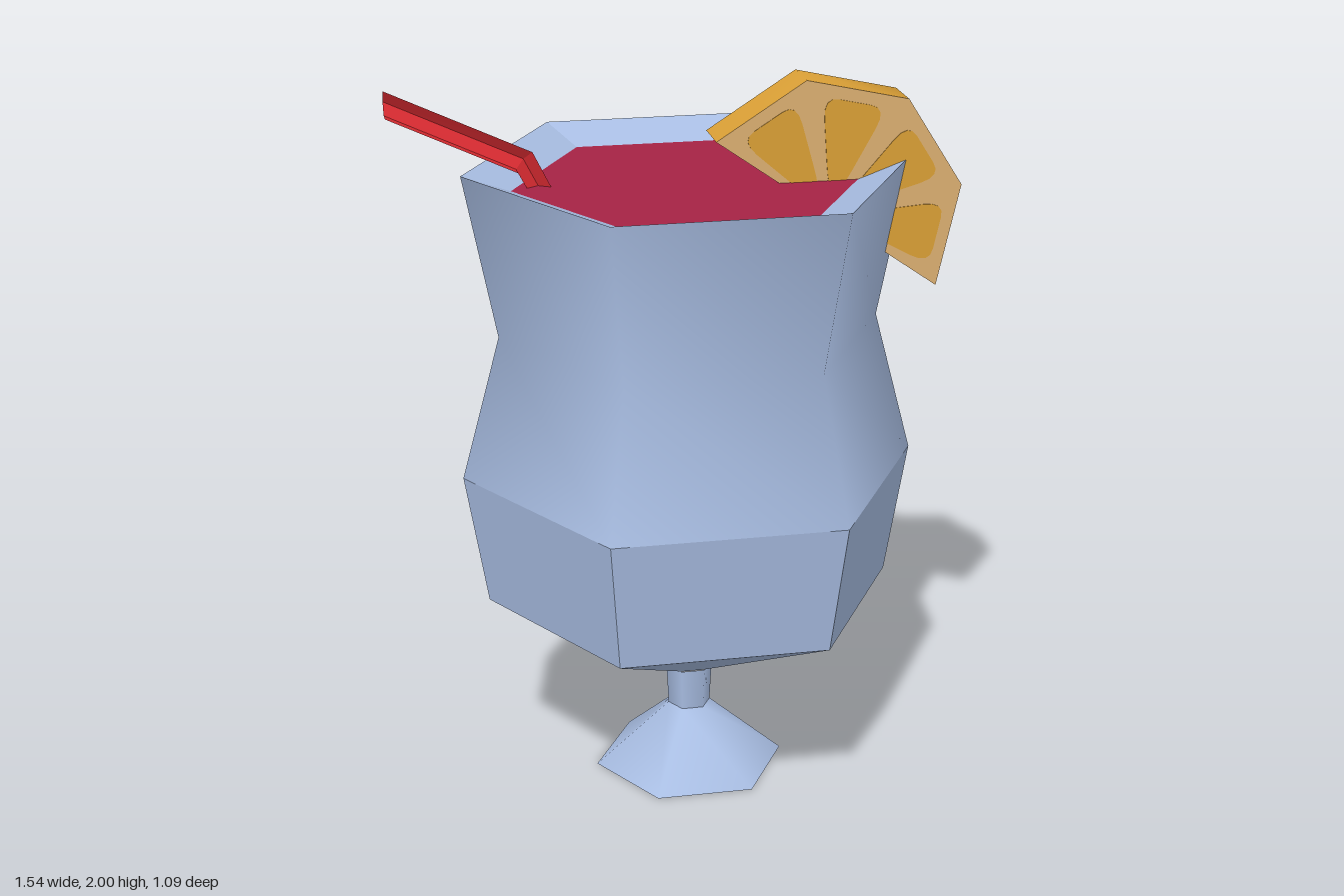
import * as THREE from 'three';
import { toCreasedNormals } from 'three/addons/utils/BufferGeometryUtils.js';

const material = (name, color) => {
  const m = new THREE.MeshStandardMaterial({ color });
  m.name = name;
  return m;
};

const CENTRE_X = 0.03; // axis of the glass

// Six-sided lathe with corners on the x axis; profile is [radius, y] from bottom to top
function hexLathe(profile, flat) {
  const points = profile.map(([r, y]) => new THREE.Vector2(r, y));
  const geo = new THREE.LatheGeometry(points, 6, Math.PI / 2);
  if (!flat) return geo;
  const faceted = geo.toNonIndexed();
  faceted.computeVertexNormals();
  return faceted;
}

// Faceted tube through rings { x, y, ox, oy }: (ox, oy) is the offset to the ring's upper side
function hexTube(rings, halfWidth) {
  const n = 6, pos = [], index = [];
  for (const { x, y, ox, oy } of rings) {
    for (let i = 0; i < n; i++) {
      const a = (i / n) * Math.PI * 2;
      const up = Math.sin(a) / Math.sin(Math.PI / 3);
      pos.push(x + ox * up, y + oy * up, Math.cos(a) * halfWidth);
    }
  }
  for (let k = 0; k < rings.length - 1; k++) {
    for (let i = 0; i < n; i++) {
      const a = k * n + i, b = k * n + ((i + 1) % n);
      index.push(a, b, a + n, b, b + n, a + n);
    }
  }
  // end caps
  const last = (rings.length - 1) * n;
  for (let i = 1; i < n - 1; i++) {
    index.push(0, i + 1, i, last, last + i, last + i + 1);
  }
  const geo = new THREE.BufferGeometry();
  geo.setAttribute('position', new THREE.Float32BufferAttribute(pos, 3));
  geo.setIndex(index);
  const flat = geo.toNonIndexed();
  flat.computeVertexNormals();
  return flat;
}

// Polygon with softened corners
function roundedShape(points, t) {
  const shape = new THREE.Shape();
  points.forEach((p, i) => {
    const prev = points[(i + points.length - 1) % points.length];
    const next = points[(i + 1) % points.length];
    const a = p.clone().lerp(prev, t), b = p.clone().lerp(next, t);
    if (i === 0) shape.moveTo(a.x, a.y);
    else shape.lineTo(a.x, a.y);
    shape.quadraticCurveTo(p.x, p.y, b.x, b.y);
  });
  shape.closePath();
  return shape;
}

export function createModel() {
  const glass = material('glass', 0xa8bde2);
  const drinkRed = material('drinkRed', 0xa52345);
  const strawRed = material('strawRed', 0xd92b31);
  const rind = material('orangeRind', 0xdba036);
  const pith = material('orangePith', 0xdcb072);

  const model = new THREE.Group();
  model.name = 'cocktail';
  const add = (parent, name, geo, mat) => {
    const mesh = new THREE.Mesh(geo, mat);
    mesh.name = name;
    parent.add(mesh);
    return mesh;
  };

  // Glass: foot, stem, faceted lower bowl, smooth upper bowl, sloping inner rim
  const goblet = new THREE.Group();
  goblet.name = 'goblet';
  goblet.position.x = CENTRE_X;
  model.add(goblet);
  add(goblet, 'footBase', hexLathe([[0, 0], [0.27, 0]], true), glass);
  add(goblet, 'foot', hexLathe([[0.27, 0], [0.06, 0.18]]), glass);
  add(goblet, 'stem', hexLathe([[0.06, 0.18], [0.066, 0.3]]), glass);
  add(goblet, 'lowerBowl', hexLathe([[0.062, 0.3], [0.568, 0.55], [0.63, 0.92]], true), glass);
  add(goblet, 'upperBowl', hexLathe([[0.63, 0.92], [0.523, 1.32], [0.612, 1.77]]), glass);
  add(goblet, 'innerRim', hexLathe([[0.612, 1.77], [0.48, 1.723]], true), glass);

  // Drink surface
  const drink = add(goblet, 'drink', new THREE.CircleGeometry(0.48, 6), drinkRed);
  drink.rotation.x = -Math.PI / 2;
  drink.position.y = 1.723;

  // Bent straw
  const strawRings = [
    { x: -0.772, y: 1.968, ox: 0, oy: 0.032 },
    { x: -0.41, y: 1.798, ox: 0.022, oy: 0.022 },
    { x: -0.34, y: 1.66, ox: 0.025, oy: 0.013 },
  ];
  add(model, 'straw', hexTube(strawRings, 0.04), strawRed);

  // Orange slice: half an octagon hooked over the rim
  const slice = new THREE.Group();
  slice.name = 'orangeSlice';
  slice.position.set(0.395, 1.628, -0.005);
  slice.rotation.z = THREE.MathUtils.degToRad(-35);
  model.add(slice);

  const polar = (r, deg) => {
    const a = THREE.MathUtils.degToRad(deg);
    return new THREE.Vector2(Math.cos(a) * r, Math.sin(a) * r);
  };
  const depth = 0.13;
  const outline = new THREE.Shape([0, 45, 90, 135, 180].map((d) => polar(0.375, d)));
  const body = new THREE.ExtrudeGeometry(outline, { depth, bevelEnabled: false });
  body.translate(0, 0, -depth / 2);
  add(slice, 'sliceBody', toCreasedNormals(body, 0.9), [pith, rind]);

  // Flesh segments on both faces
  for (let i = 0; i < 4; i++) {
    const mid = 22.5 + i * 45;
    const wedge = roundedShape(
      [polar(0.08, mid - 14), polar(0.325, mid - 16), polar(0.325, mid + 16), polar(0.08, mid + 14)],
      0.25
    );
    for (const side of [1, -1]) {
      const geo = new THREE.ExtrudeGeometry(wedge, { depth: 0.004, bevelEnabled: false, curveSegments: 4 });
      geo.translate(0, 0, (side * depth) / 2 - 0.002);
      add(slice, 'fleshSegment', geo, rind);
    }
  }
  return model;
}
